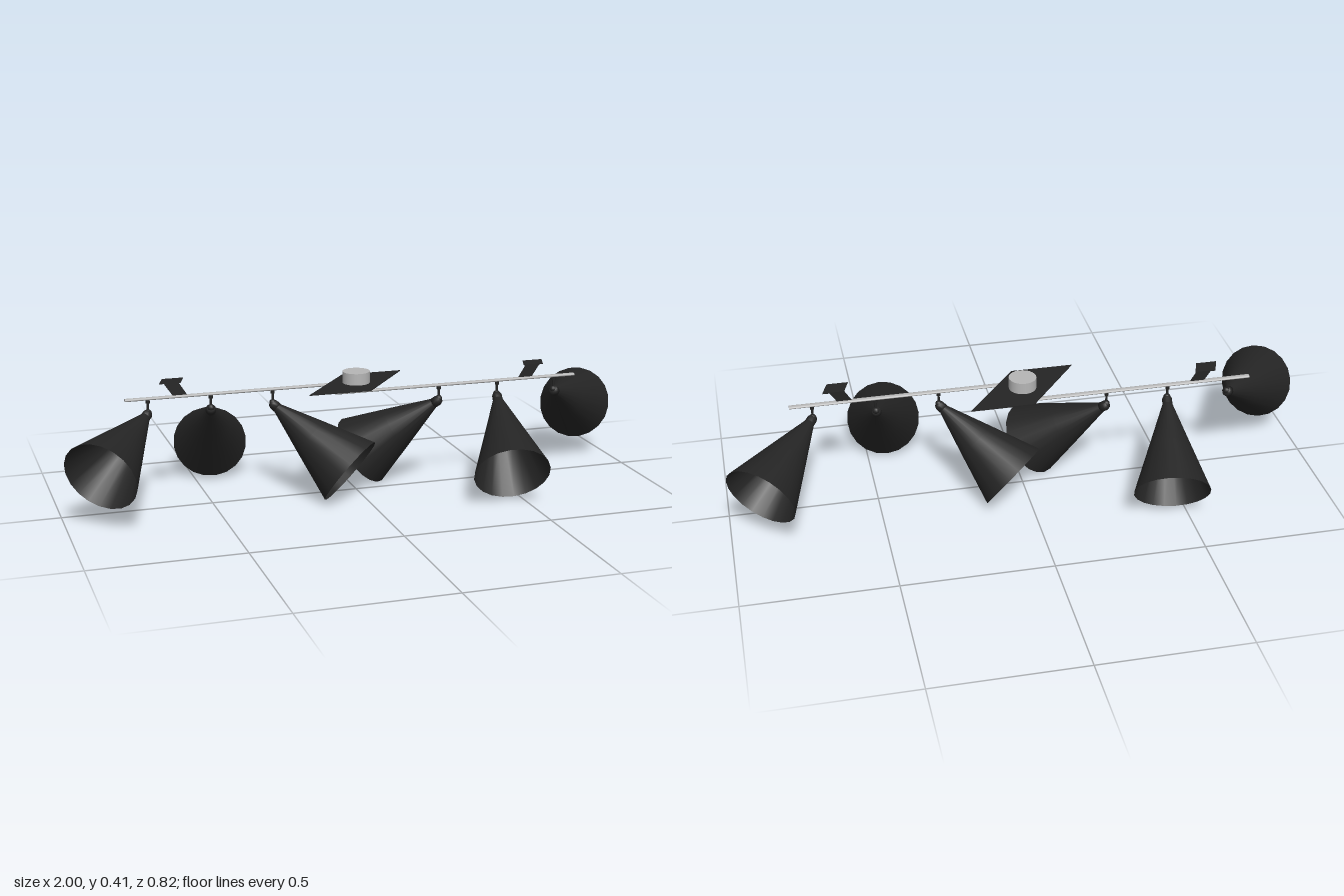
import * as THREE from 'three';

const black = new THREE.MeshStandardMaterial({ color: 0x242424, side: THREE.DoubleSide });
black.name = 'matt black';
const dark = new THREE.MeshStandardMaterial({ color: 0x161616 });
dark.name = 'socket black';
const steel = new THREE.MeshStandardMaterial({ color: 0xb5b5b5 });
steel.name = 'brushed steel';

const UP = new THREE.Vector3(0, 1, 0);

function add(parent, name, geometry, material, x = 0, y = 0, z = 0) {
  const mesh = new THREE.Mesh(geometry, material);
  mesh.name = name;
  mesh.position.set(x, y, z);
  parent.add(mesh);
  return mesh;
}

// Thin sheet from outline points; flat sheets take [x, z] points and lie on y = 0
function sheet(points, thickness, flat) {
  const shape = new THREE.Shape(points.map(([a, b]) => new THREE.Vector2(a, flat ? -b : b)));
  const geo = new THREE.ExtrudeGeometry(shape, { depth: thickness, bevelEnabled: false });
  geo.translate(0, 0, -thickness / 2);
  if (flat) geo.rotateX(-Math.PI / 2);
  return geo;
}

// Open conical shade with its neck, knuckle and socket, aimed at the rim centre
function shade(parent, mountX, rim) {
  const lamp = new THREE.Group();
  lamp.name = 'lamp';
  parent.add(lamp);
  add(lamp, 'dropRod', new THREE.CylinderGeometry(0.004, 0.004, 0.05, 8), black, mountX, 0.339, -0.058);
  add(lamp, 'dropCollar', new THREE.CylinderGeometry(0.007, 0.007, 0.012, 10), black, mountX, 0.354, -0.058);
  add(lamp, 'knuckle', new THREE.SphereGeometry(0.012, 12, 8), black, mountX, 0.316, -0.058);

  const apex = new THREE.Vector3(mountX, 0.312, -0.06);
  const axis = new THREE.Vector3(...rim).sub(apex);
  const length = axis.length();
  const head = new THREE.Group();
  head.name = 'shadeHead';
  head.position.copy(apex);
  head.quaternion.setFromUnitVectors(UP, axis.normalize());
  lamp.add(head);

  const cone = [[0.015, 0.018], [0.07, 0.177], [0.127, length]].map((p) => new THREE.Vector2(...p));
  add(head, 'coneShade', new THREE.LatheGeometry(cone, 20), black);
  const cap = [[0, -0.008], [0.012, -0.006], [0.017, 0.004], [0.017, 0.022], [0, 0.024]].map((p) => new THREE.Vector2(...p));
  add(head, 'neckCap', new THREE.LatheGeometry(cap, 14), black);
  add(head, 'socket', new THREE.CylinderGeometry(0.036, 0.018, 0.1, 16), dark, 0, 0.085, 0);
}

// One half of the fitting: rail, ceiling bracket and three lamps
function half() {
  const g = new THREE.Group();
  g.name = 'railAssembly';
  const rail = new THREE.CylinderGeometry(0.01, 0.01, 0.86, 14);
  rail.rotateZ(Math.PI / 2);
  rail.scale(1, 0.5, 1);
  add(g, 'rail', rail, steel, -0.34, 0.363, -0.058);
  add(g, 'railConnector', new THREE.BoxGeometry(0.03, 0.013, 0.016), black, 0, 0.371, -0.058);

  add(g, 'bracketPlate', sheet([[-0.64, -0.088], [-0.57, -0.088], [-0.59, -0.031], [-0.66, -0.031]], 0.003, true), black, 0, 0.4165, 0);
  add(g, 'bracketStem', sheet([[-0.645, 0.416], [-0.595, 0.416], [-0.562, 0.364], [-0.61, 0.364]], 0.004, false), black, 0, 0, -0.058);

  shade(g, -0.695, [-0.895, 0.19, 0.19]);
  shade(g, -0.485, [-0.432, 0.118, -0.335]);
  shade(g, -0.274, [-0.056, 0.106, 0.112]);
  return g;
}

export function createModel() {
  const model = new THREE.Group();
  model.name = 'ceilingLamp';

  // Central ceiling mount
  add(model, 'centrePlate', sheet([[-0.015, -0.115], [0.195, -0.115], [0.015, 0.115], [-0.195, 0.115]], 0.003, true), black, 0, 0.3775, 0);
  add(model, 'canopy', new THREE.CylinderGeometry(0.046, 0.046, 0.039, 32), steel, 0, 0.3985, 0);

  // Two identical halves, turned half a circle apart
  for (const turn of [0, Math.PI]) {
    const g = half();
    g.rotation.y = turn;
    model.add(g);
  }
  return model;
}
